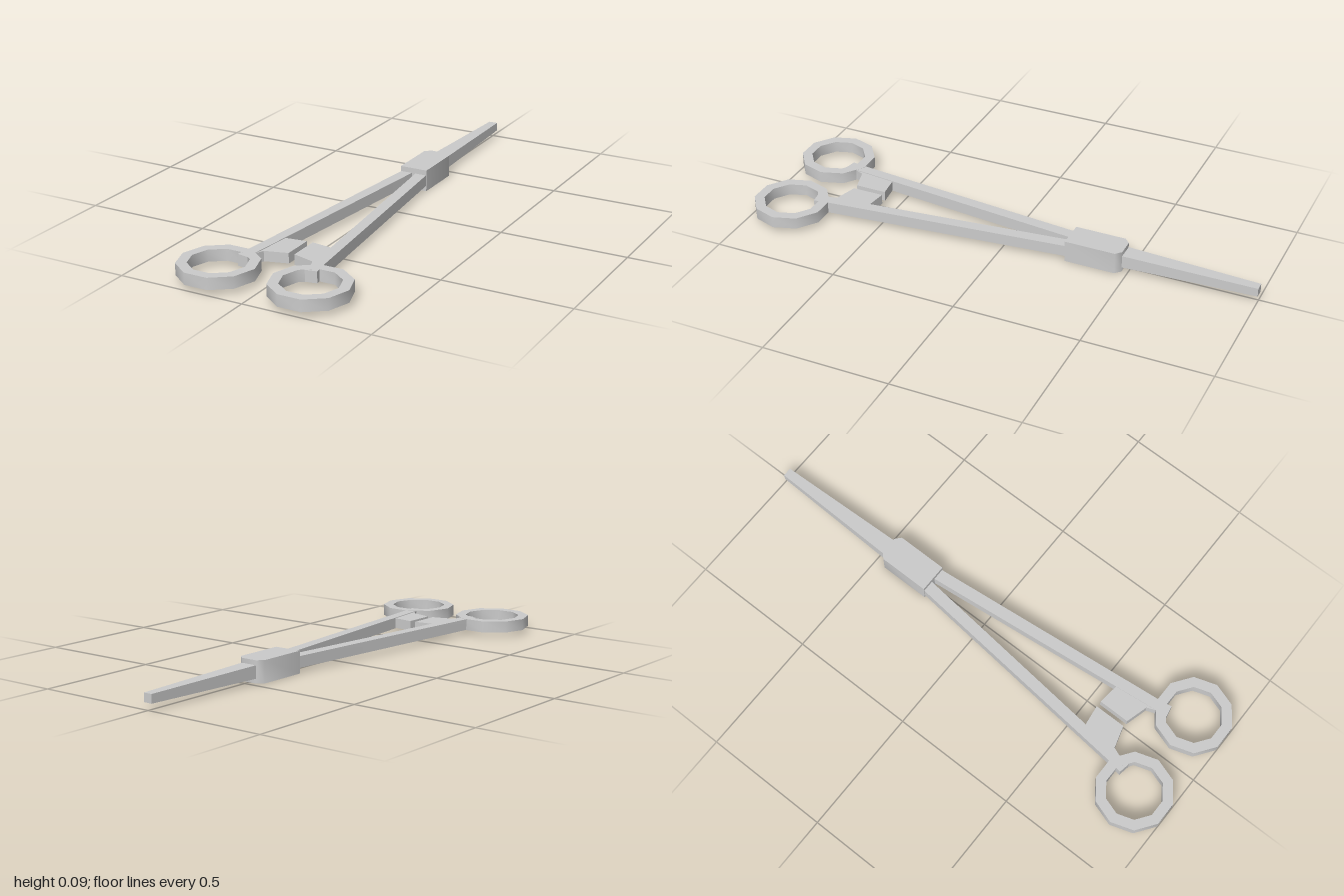
import * as THREE from 'three';
import { toCreasedNormals } from 'three/addons/utils/BufferGeometryUtils.js';

const material = new THREE.MeshStandardMaterial({ color: 0xcccccc });
const MID = 0.044; // height of the centre plane

// Shape from an [x, z] outline
const outline = (points) => new THREE.Shape(points.map(([x, z]) => new THREE.Vector2(x, -z)));

// Upright slab from a shape, centred on MID
function slab(name, shape, height) {
  const geometry = new THREE.ExtrudeGeometry(shape, { depth: height, bevelEnabled: false });
  geometry.rotateX(-Math.PI / 2).translate(0, MID - height / 2, 0);
  const mesh = new THREE.Mesh(toCreasedNormals(geometry, 0.85), material);
  mesh.name = name;
  return mesh;
}

function decagon(cx, cz, radius) {
  return Array.from({ length: 10 }, (_, i) => {
    const a = i * Math.PI / 5;
    return new THREE.Vector2(cx + radius * Math.cos(a), -cz + radius * Math.sin(a));
  });
}

// Arm, ratchet plate and finger ring of one side (s = +1 or -1)
function handle(s) {
  const group = new THREE.Group();
  group.name = s > 0 ? 'leftHandle' : 'rightHandle';
  const side = (points) => outline(points.map(([x, z]) => [s * x, z]));

  group.add(slab('arm', side([
    [0.003, -0.3], [0.05, -0.3], [0.153, 0.71], [0.162, 0.772], [0.117, 0.78], [0.11, 0.7],
  ]), 0.045));

  group.add(slab('ratchetPlate', side([
    [0.12, 0.565], [0.092, 0.56], [0.012, 0.55], [0.012, 0.675], [0.1, 0.7], [0.112, 0.73], [0.135, 0.73],
  ]), 0.04));

  const ring = new THREE.Shape(decagon(s * 0.187, 0.857, 0.15));
  ring.holes.push(new THREE.Path(decagon(s * 0.187, 0.857, 0.11)));
  group.add(slab('fingerRing', ring, 0.046));
  return group;
}

export function createModel() {
  const model = new THREE.Group();
  model.name = 'clampingForceps';
  model.add(handle(1), handle(-1));

  // Box joint with its far corners cut off
  model.add(slab('boxJoint', outline([
    [-0.057, -0.253], [0.057, -0.253], [0.057, -0.455], [0.034, -0.476], [-0.034, -0.476], [-0.057, -0.455],
  ]), 0.087));

  // Closed jaws, tapering in width and height toward the tip
  const jawGeometry = new THREE.BoxGeometry(1, 1, 0.55);
  const p = jawGeometry.attributes.position;
  for (let i = 0; i < p.count; i++) {
    const tip = p.getZ(i) < 0;
    p.setXYZ(i, p.getX(i) * (tip ? 0.036 : 0.07), MID + p.getY(i) * (tip ? 0.034 : 0.051), p.getZ(i) - 0.725);
  }
  jawGeometry.computeVertexNormals();
  const jaws = new THREE.Mesh(jawGeometry, material);
  jaws.name = 'jaws';
  model.add(jaws);
  return model;
}
